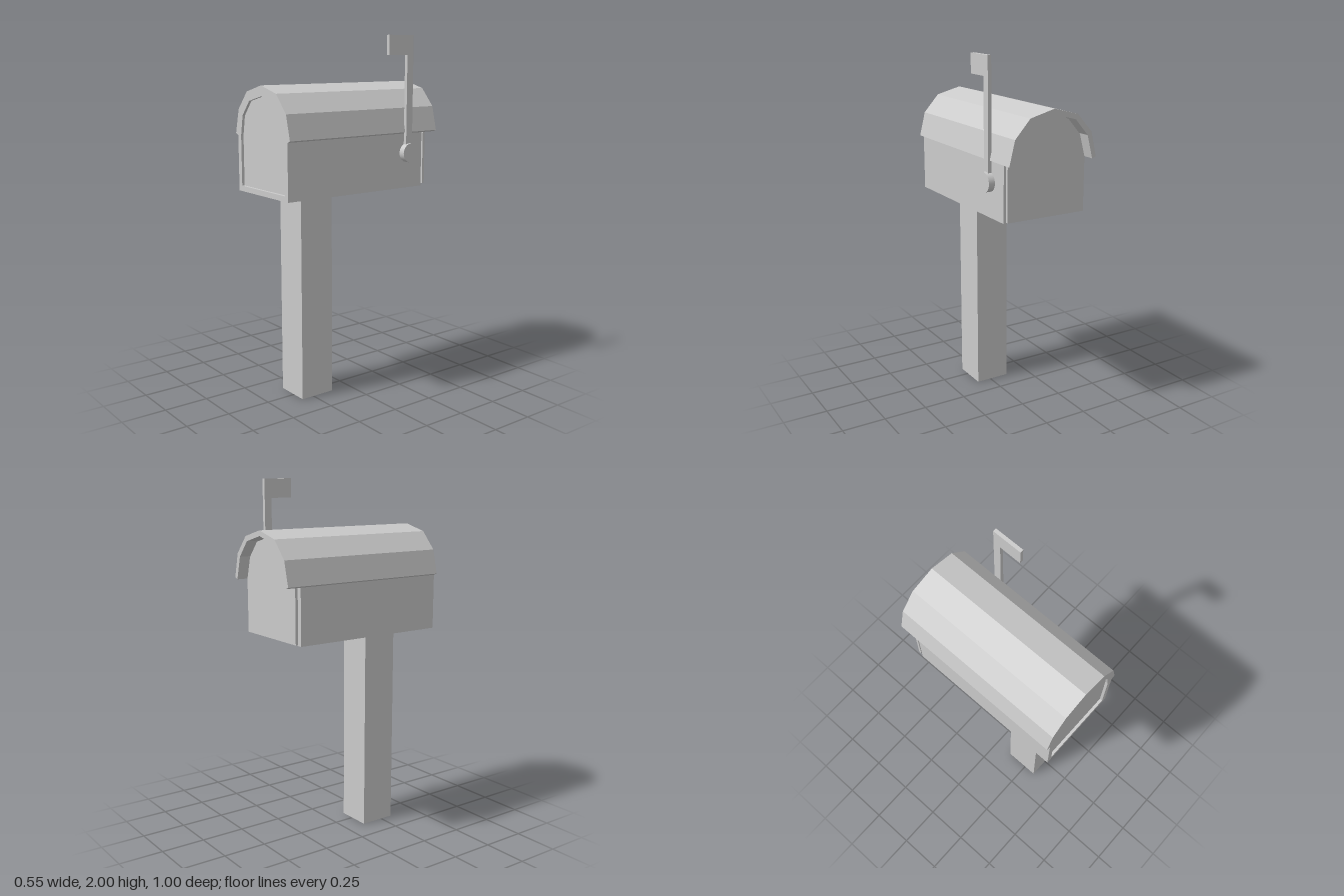
import * as THREE from 'three';

const CX = -0.015; // centre line of box and post

export function createModel() {
  const group = new THREE.Group();
  const mat = new THREE.MeshStandardMaterial({ color: 0xcccccc });

  const add = (name, geometry, x = 0, y = 0, z = 0) => {
    const mesh = new THREE.Mesh(geometry, mat);
    mesh.name = name;
    mesh.position.set(x, y, z);
    group.add(mesh);
    return mesh;
  };
  // mirror a right half, listed bottom to peak, into a full left-to-right outline
  const mirror = (half) => [
    ...half,
    ...half.slice(0, -1).reverse().map(([x, y]) => [-x, y]),
  ].map(([x, y]) => new THREE.Vector2(x, y));
  const extrude = (shape, z0, z1) => {
    const g = new THREE.ExtrudeGeometry(shape, { depth: z1 - z0, bevelEnabled: false });
    return g.translate(CX, 0, z0);
  };

  // Half outlines of the arch
  const roofOuter = [[0.263, 1.474], [0.23, 1.607], [0.142, 1.705], [0, 1.742]];
  const roofInner = [[0.24, 1.465], [0.207, 1.59], [0.13, 1.678], [0, 1.713]];
  const body = [[0.24, 1.16], ...roofInner];
  const panel = [[0.21, 1.19], [0.21, 1.465], [0.19, 1.575], [0.12, 1.656], [0, 1.686]];
  const door = [[0.235, 1.17], [0.235, 1.465], [0.202, 1.587], [0.127, 1.673], [0, 1.707]];

  // Post
  add('post', new THREE.BoxGeometry(0.2, 1.16, 0.205), CX, 0.58, 0.222);

  // Box, with a raised rim around the recessed front panel
  add('boxBody', extrude(new THREE.Shape(mirror(body)), -0.41, 0.485));
  const rim = new THREE.Shape(mirror(body));
  rim.holes.push(new THREE.Path(mirror(panel)));
  add('frontRim', extrude(rim, 0.485, 0.5));

  // Door plate behind a narrow gap
  add('door', extrude(new THREE.Shape(mirror(door)), -0.44, -0.425));

  // Faceted roof shell overhanging the door
  const roof = new THREE.Shape([...mirror(roofOuter), ...mirror(roofInner).reverse()]);
  add('roof', extrude(roof, -0.5, 0.5));

  // Signal flag: stem and pennant in one outline, drawn as (-z, y)
  const flag = new THREE.Shape([
    [0.267, 1.36], [0.31, 1.36], [0.31, 2], [0.138, 2], [0.138, 1.895], [0.267, 1.895],
  ].map(([x, y]) => new THREE.Vector2(x, y)));
  const flagGeo = new THREE.ExtrudeGeometry(flag, { depth: 0.02, bevelEnabled: false });
  add('signalFlag', flagGeo.rotateY(Math.PI / 2), 0.237, 0, 0);

  // Flag pivot
  const pivot = new THREE.CylinderGeometry(0.053, 0.053, 0.035, 32).rotateZ(Math.PI / 2);
  add('flagPivot', pivot, 0.2545, 1.36, -0.29);

  return group;
}
